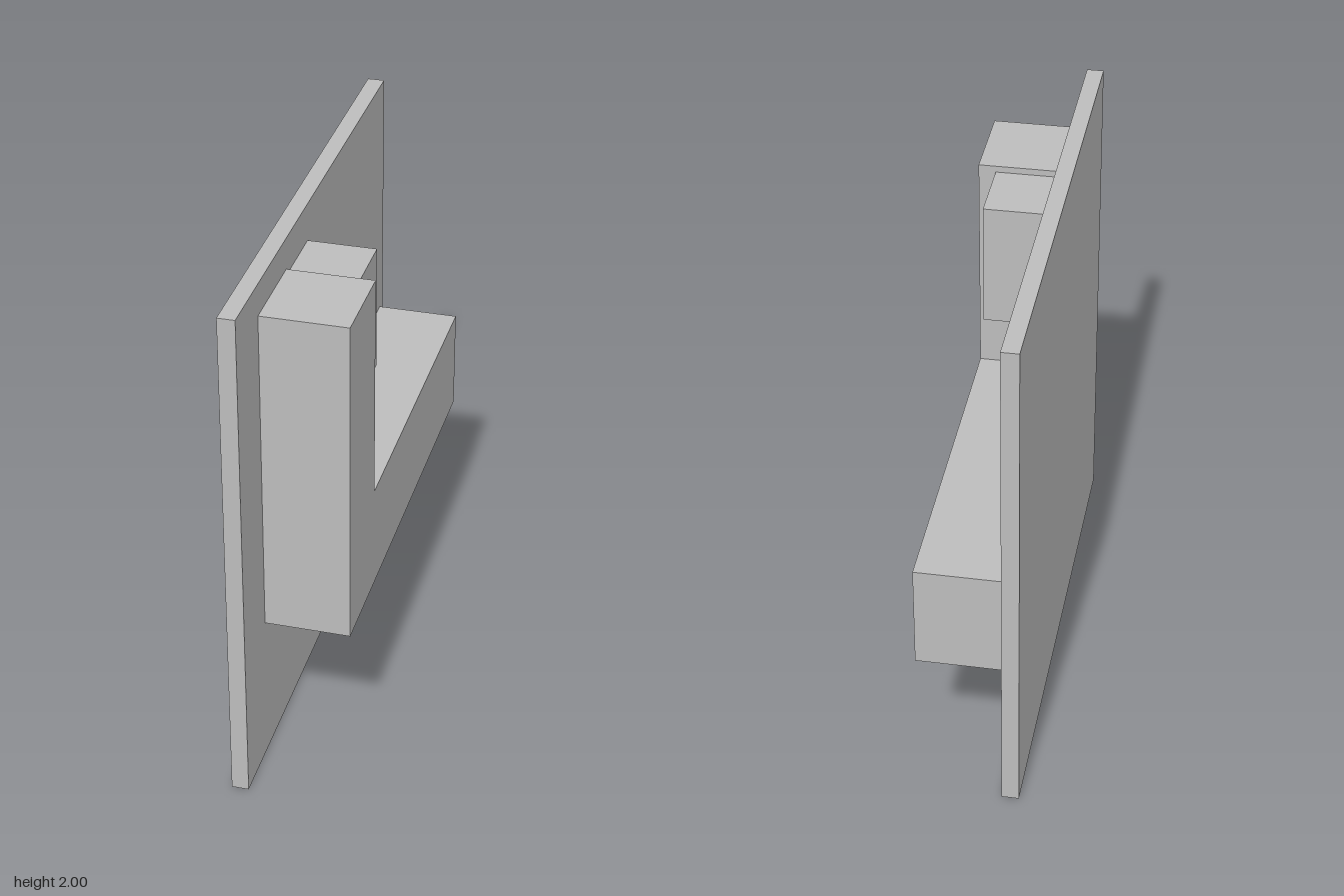
import * as THREE from 'three';

export function createModel() {
  const group = new THREE.Group();
  const grey = new THREE.MeshStandardMaterial({ color: 0xbdbdbd });
  grey.name = 'plain grey';

  // Box given by its extents along each axis
  function block(name, [x0, x1], [y0, y1], [z0, z1]) {
    const mesh = new THREE.Mesh(new THREE.BoxGeometry(x1 - x0, y1 - y0, z1 - z0), grey);
    mesh.position.set((x0 + x1) / 2, (y0 + y1) / 2, (z0 + z1) / 2);
    mesh.name = name;
    group.add(mesh);
  }

  const wall = -0.131; // face of the panel that carries the blocks
  const depth = [wall, 0.193];

  // Square backing panel
  block('backPanel', [-0.196, wall], [0, 2], [-1, 1]);

  // Horizontal row of base blocks
  const seams = [0.748, 0.113, -0.32, -0.612, -0.957];
  for (let i = 0; i < seams.length - 1; i++) {
    block('baseBlock' + (i + 1), depth, [0.588, 1.0], [seams[i + 1], seams[i]]);
  }

  // Tall column at the front end, in two stacked blocks
  block('lowerColumn', depth, [1.0, 1.32], [0.4, 0.748]);
  block('upperColumn', depth, [1.32, 1.88], [0.4, 0.748]);

  // Shallower hanging block behind the column
  block('hangingBlock', [wall, 0.128], [1.37, 1.855], [0.125, 0.4]);

  return group;
}
